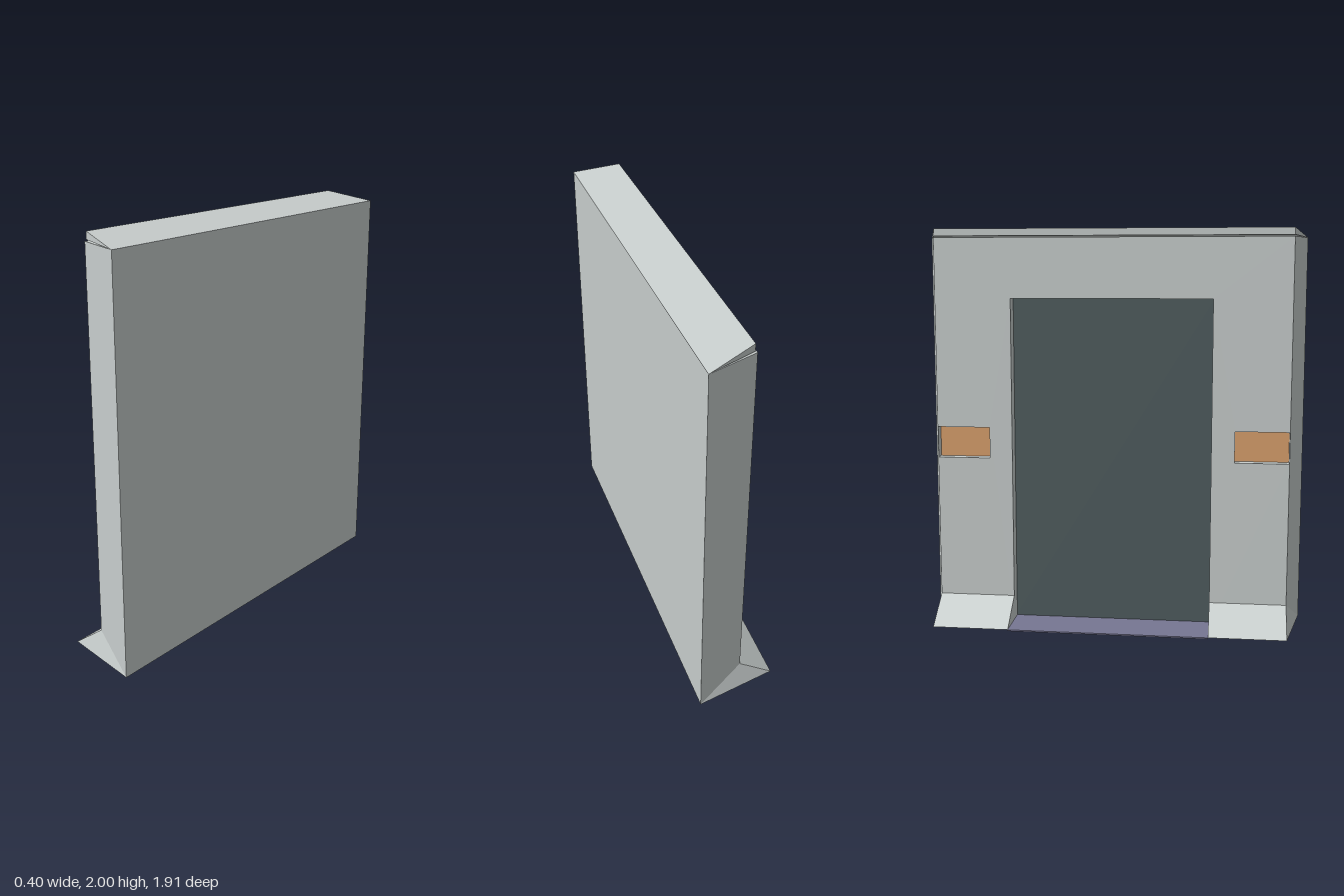
import * as THREE from 'three';

const mat = (name, color) => {
  const m = new THREE.MeshStandardMaterial({ color, side: THREE.DoubleSide });
  m.name = name;
  return m;
};

// Flat-shaded mesh from a list of convex polygons
function faces(name, material, polys) {
  const pos = [];
  for (const p of polys)
    for (let i = 1; i < p.length - 1; i++) pos.push(...p[0], ...p[i], ...p[i + 1]);
  const g = new THREE.BufferGeometry();
  g.setAttribute('position', new THREE.Float32BufferAttribute(pos, 3));
  g.computeVertexNormals();
  const m = new THREE.Mesh(g, material);
  m.name = name;
  return m;
}

function box(name, material, [x0, x1], [y0, y1], [z0, z1]) {
  const m = new THREE.Mesh(new THREE.BoxGeometry(x1 - x0, y1 - y0, z1 - z0), material);
  m.position.set((x0 + x1) / 2, (y0 + y1) / 2, (z0 + z1) / 2);
  m.name = name;
  return m;
}

export function createModel() {
  const grey = mat('pale grey', 0xc8cecd);
  const dark = mat('dark slate', 0x4f5c5e);
  const violet = mat('dusty violet', 0x767692);
  const orange = mat('orange', 0xd9a06c);

  const group = new THREE.Group();
  group.name = 'doorWall';

  const F = -0.03, B = 0.2, T = -0.2;      // face, back and foot toe in x
  const Y0 = 0.015, Y1 = 1.957, YF = 0.14; // base, top, top of foot
  const ZF = 0.883, ZB = 0.957;            // half widths at face and back
  const D = 0.5, DX = 0.04, DY = 1.66;     // doorway half width, depth, height
  const R0 = 0.615, RX = 0.02, RY0 = 0.857, RY1 = 1.013; // side recesses

  // Face panel with doorway notch and two recess holes
  const s = new THREE.Shape([
    [-ZF, Y0], [-D, Y0], [-D, DY], [D, DY], [D, Y0], [ZF, Y0], [ZF, Y1], [-ZF, Y1],
  ].map(([u, v]) => new THREE.Vector2(u, v)));
  for (const k of [-1, 1]) {
    const e = ZF - 0.002;
    s.holes.push(new THREE.Path([[R0, RY0], [e, RY0], [e, RY1], [R0, RY1]]
      .map(([u, v]) => new THREE.Vector2(k * u, v))));
  }
  const panel = new THREE.Mesh(new THREE.ShapeGeometry(s), grey);
  panel.rotation.y = -Math.PI / 2;
  panel.position.x = F;
  panel.name = 'facePanel';
  group.add(panel);

  // Plain back panel and flat top
  group.add(faces('backPanel', grey, [[[B, Y0, ZB], [B, Y0, -ZB], [B, Y1, -ZB], [B, Y1, ZB]]]));
  group.add(faces('topPlate', grey, [[[F, Y1, -ZF], [F, Y1, ZF], [B, Y1, ZB], [B, Y1, -ZB]]]));

  // Sloped cap along the top
  const C = -0.02, CY = 1.965;
  group.add(faces('topCap', grey, [
    [[C, 2, -ZF], [C, 2, ZF], [B, Y1, ZB], [B, Y1, -ZB]],
    [[C, CY, -ZF], [C, CY, ZF], [C, 2, ZF], [C, 2, -ZF]],
    [[C, CY, ZF], [B, Y1, ZB], [C, 2, ZF]],
    [[C, CY, -ZF], [C, 2, -ZF], [B, Y1, -ZB]],
    [[C, CY, -ZF], [B, Y1, -ZB], [B, Y1, ZB], [C, CY, ZF]],
  ]));

  // Mirrored parts
  for (const k of [-1, 1]) {
    const side = k > 0 ? 'left' : 'right';
    const P = (x, y, z) => [x, y, k * z];
    const add = (name, m, polys) =>
      group.add(faces(side + name, m, k > 0 ? polys : polys.map(p => [...p].reverse())));

    // Angled side wall
    add('SideWall', grey, [[P(F, Y0, ZF), P(B, Y0, ZB), P(B, Y1, ZB), P(F, Y1, ZF)]]);

    // Flared foot with its cheek beside the doorway
    add('Foot', grey, [
      [P(T, Y0, D), P(T, Y0, ZF), P(F, YF, ZF), P(F, YF, D)],
      [P(T, Y0, ZF), P(B, Y0, ZB), P(F, YF, ZF)],
      [P(T, Y0, D), P(F, YF, D), P(F, Y0, D)],
      [P(T, Y0, D), P(F, Y0, D), P(F, Y0, ZF), P(T, Y0, ZF)],
      [P(T, Y0, ZF), P(F, Y0, ZF), P(B, Y0, ZB)],
    ]);

    // Doorway jamb
    add('Jamb', grey, [[P(F, Y0, D), P(F, DY, D), P(DX, DY, D), P(DX, Y0, D)]]);

    // Recess walls and its coloured plate
    const e = ZF - 0.002;
    const rim = [[RY0, R0], [RY0, e], [RY1, e], [RY1, R0]];
    add('RecessWalls', grey, rim.map(([y, z], i) => {
      const [v, w] = rim[(i + 1) % 4];
      return [P(F, y, z), P(RX, y, z), P(RX, v, w), P(F, v, w)];
    }));
    add('RecessPlate', orange, [rim.map(([y, z]) => P(RX, y, z))]);
  }

  // Doorway head, door slab and threshold
  group.add(faces('doorHead', grey, [[[F, DY, -D], [DX, DY, -D], [DX, DY, D], [F, DY, D]]]));
  group.add(box('door', dark, [DX, DX + 0.025], [0, DY + 0.015], [-0.515, 0.515]));
  group.add(box('threshold', violet, [T, DX], [0.008, Y0], [-D, D]));

  return group;
}
